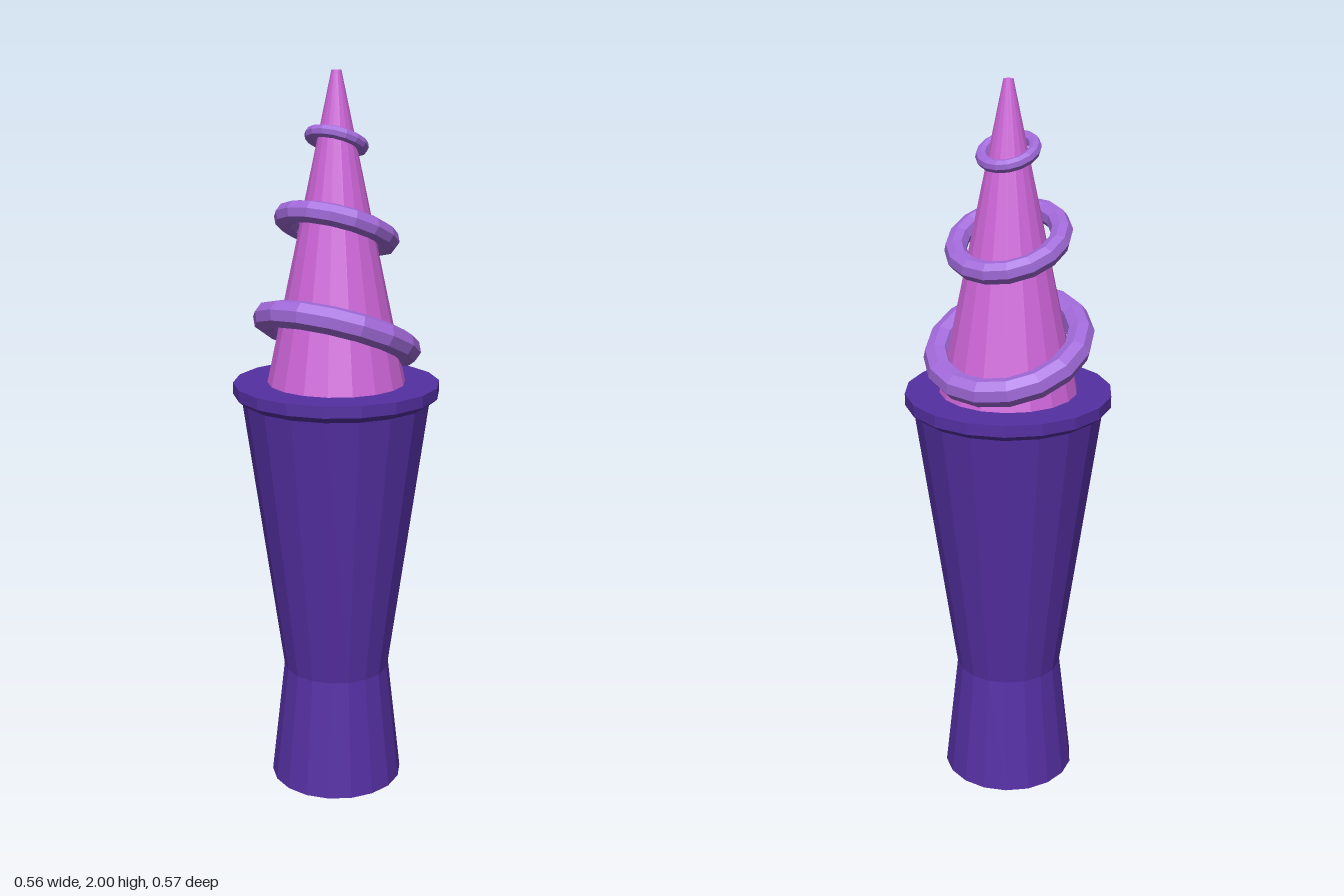
import * as THREE from 'three';

const SIDES = 18;

const material = (name, color) => {
  const m = new THREE.MeshStandardMaterial({ color });
  m.name = name;
  return m;
};

// Faceted look: every face gets its own normal
const faceted = (geometry) => {
  const g = geometry.toNonIndexed();
  g.computeVertexNormals();
  return g;
};

const lathe = (profile) =>
  faceted(new THREE.LatheGeometry(profile.map(([r, y]) => new THREE.Vector2(r, y)), SIDES));

export function createModel() {
  const group = new THREE.Group();
  const deepPurple = material('deep purple', 0x5530a3);
  const orchid = material('orchid pink', 0xcf66da);
  const lavender = material('lavender', 0xa069d8);

  const add = (name, geometry, mat) => {
    const mesh = new THREE.Mesh(geometry, mat);
    mesh.name = name;
    group.add(mesh);
    return mesh;
  };

  // Waisted holder with a closed base
  add('holder', lathe([[0, 0], [0.188, 0], [0.15, 0.34], [0.26, 1.13]]), deepPurple);

  // Flared lip with a flat top
  add('rim', lathe([[0.26, 1.125], [0.283, 1.143], [0.283, 1.175], [0, 1.175]]), deepPurple);

  // Tapering spire with a small blunt tip
  add('spire', lathe([[0.19, 1.17], [0.013, 2], [0, 2]]), orchid);

  // Tilted rings, high at the front right and low at the back left
  const tilt = new THREE.Quaternion().setFromUnitVectors(
    new THREE.Vector3(0, 1, 0),
    new THREE.Vector3(0.2, 1, -0.41).normalize()
  );
  const rings = [
    ['lowerRing', 0.197, 0.038, 1.305],
    ['middleRing', 0.142, 0.03, 1.59],
    ['upperRing', 0.07, 0.017, 1.82],
  ];
  for (const [name, radius, tube, y] of rings) {
    const torus = new THREE.TorusGeometry(radius, tube, 8, 16).rotateX(Math.PI / 2);
    const ring = add(name, faceted(torus), lavender);
    ring.quaternion.copy(tilt);
    ring.position.set(0, y, -0.003);
  }

  return group;
}
